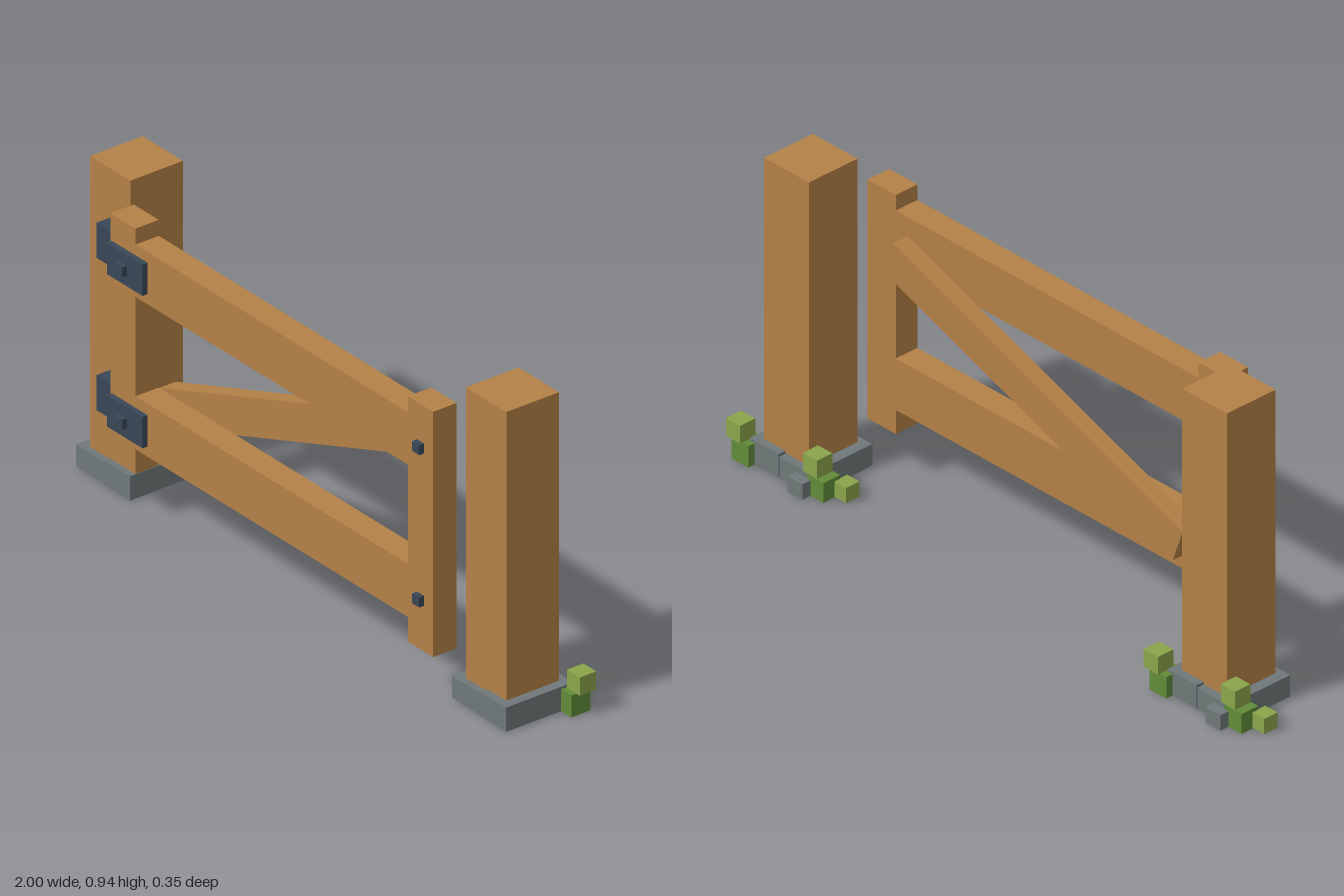
import * as THREE from 'three';

const mat = (name, color) => {
  const m = new THREE.MeshStandardMaterial({ color });
  m.name = name;
  return m;
};

export function createModel() {
  const wood = mat('wood', 0xb48146);
  const iron = mat('dark iron', 0x3a4757);
  const stone = mat('stone', 0x707879);
  const leafDark = mat('dark leaf', 0x628b3a);
  const leafLight = mat('light leaf', 0x8ba54b);

  // Box given by its extents on each axis
  const box = (parent, name, material, [x0, x1], [y0, y1], [z0, z1]) => {
    const mesh = new THREE.Mesh(new THREE.BoxGeometry(x1 - x0, y1 - y0, z1 - z0), material);
    mesh.position.set((x0 + x1) / 2, (y0 + y1) / 2, (z0 + z1) / 2);
    mesh.name = name;
    parent.add(mesh);
    return mesh;
  };

  const model = new THREE.Group();
  model.name = 'fenceGate';

  // Two identical posts, each with stone footing and tufts of leaves
  for (const [name, x] of [['rightPost', -0.785], ['leftPost', 0.82]]) {
    const g = new THREE.Group();
    g.name = name;
    g.position.x = x;
    box(g, 'post', wood, [-0.086, 0.086], [0.004, 0.94], [-0.12, 0.056]);
    box(g, 'footingStone', stone, [-0.12, 0.001], [0, 0.066], [-0.145, 0.077]);
    box(g, 'footingStone', stone, [0.004, 0.116], [0, 0.073], [-0.145, 0.08]);
    box(g, 'smallStone', stone, [-0.12, -0.063], [0, 0.048], [-0.176, -0.125]);
    box(g, 'leafBlock', leafDark, [-0.17, -0.105], [0, 0.061], [-0.147, -0.086]);
    box(g, 'leafBlock', leafLight, [-0.146, -0.091], [0.064, 0.12], [-0.147, -0.092]);
    box(g, 'leafBlock', leafLight, [-0.215, -0.168], [0.003, 0.05], [-0.107, -0.059]);
    box(g, 'leafBlock', leafDark, [0.096, 0.16], [0, 0.066], [-0.168, -0.104]);
    box(g, 'leafBlock', leafLight, [0.12, 0.175], [0.066, 0.121], [-0.175, -0.12]);
    model.add(g);
  }

  // Gate frame: stiles and rails
  const gate = new THREE.Group();
  gate.name = 'gate';
  model.add(gate);
  const depth = [0.066, 0.144];
  box(gate, 'hingeStile', wood, [-0.672, -0.565], [0.147, 0.884], depth);
  box(gate, 'latchStile', wood, [0.598, 0.706], [0.147, 0.884], depth);
  box(gate, 'topRail', wood, [-0.565, 0.598], [0.679, 0.836], depth);
  box(gate, 'bottomRail', wood, [-0.565, 0.598], [0.221, 0.38], depth);

  // Diagonal brace behind the frame
  const brace = box(gate, 'brace', wood, [-0.575, 0.605], [0.472, 0.583], [0.013, 0.066]);
  brace.rotation.z = 0.342;

  // Hinges and bolts on both rails
  for (const y of [0.757, 0.299]) {
    box(model, 'hingeBlock', iron, [-0.76, -0.68], [y - 0.053, y + 0.053], [0.05, 0.121]);
    box(model, 'hingePin', iron, [-0.68, -0.672], [y - 0.046, y + 0.046], [0.066, 0.121]);
    box(gate, 'hingePlate', iron, [-0.665, -0.513], [y - 0.047, y + 0.047], [0.144, 0.161]);
    box(gate, 'hingeBolt', iron, [-0.61, -0.58], [y - 0.015, y + 0.015], [0.161, 0.177]);
    box(gate, 'latchBolt', iron, [0.637, 0.667], [y - 0.015, y + 0.015], [0.144, 0.16]);
  }
  return model;
}
